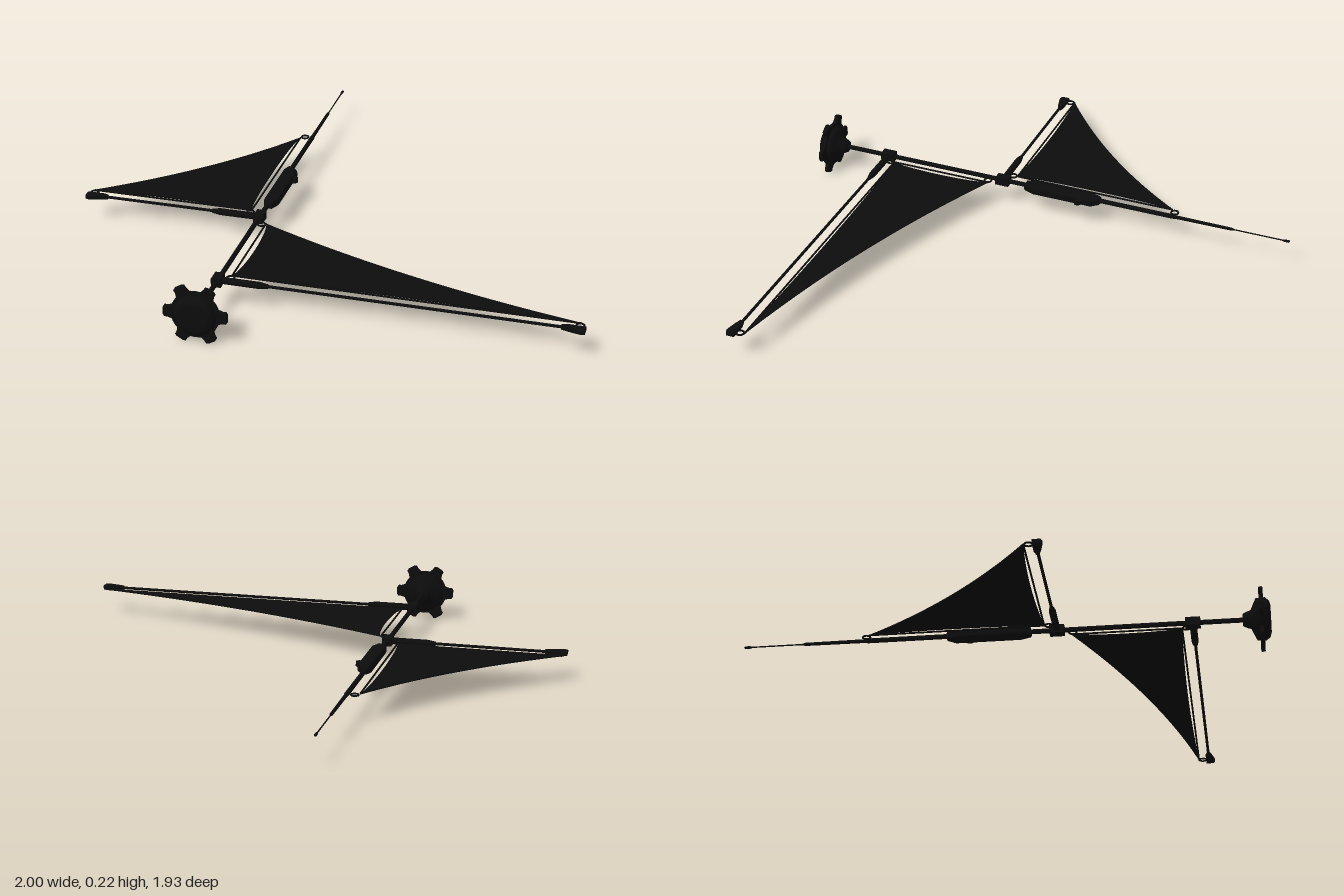
import * as THREE from 'three';

const Y = 0.115, MAST_X = -0.313;

export function createModel() {
  const model = new THREE.Group();
  const black = new THREE.MeshStandardMaterial({ color: 0x0c0c0c });
  black.name = 'black';

  const add = (name, geometry, x = 0, y = Y, z = 0, parent = model) => {
    const mesh = new THREE.Mesh(geometry, black);
    mesh.name = name;
    mesh.position.set(x, y, z);
    parent.add(mesh);
    return mesh;
  };
  const lathe = (profile, sides = 16) =>
    new THREE.LatheGeometry(profile.map(([r, l]) => new THREE.Vector2(r, l)), sides);
  // Flat horizontal plate from a shape drawn as (x, -z), centred on its thickness
  const plate = (shape, thick, bevel = 0) => {
    const g = new THREE.ExtrudeGeometry(shape, {
      depth: thick - 2 * bevel, curveSegments: 24, bevelEnabled: bevel > 0,
      bevelThickness: bevel, bevelSize: bevel, bevelOffset: -bevel, bevelSegments: 2,
    });
    g.translate(0, 0, -(thick - 2 * bevel) / 2);
    return g.rotateX(-Math.PI / 2);
  };
  const outline = (pts) => new THREE.Shape(pts.map(([x, z]) => new THREE.Vector2(x, -z)));
  const rope = (name, [x1, z1], [x2, z2], parent) => {
    const path = new THREE.LineCurve3(new THREE.Vector3(x1, 0, z1), new THREE.Vector3(x2, 0, z2));
    add(name, new THREE.TubeGeometry(path, 1, 0.0035, 8), 0, Y, 0, parent);
  };

  // Mast: fine needle, stepped rod and rounded tip
  add('mast', lathe([
    [0, -0.967], [0.005, -0.963], [0.005, -0.945], [0.0025, -0.935], [0.0025, -0.75],
    [0.006, -0.735], [0.007, -0.52], [0.009, -0.5], [0.009, 0.88], [0, 0.88],
  ]).rotateX(Math.PI / 2), MAST_X);

  // Control housing clamped around the mast, with a side knob
  add('housing', plate(outline([
    [-0.322, -0.21], [-0.304, -0.21], [-0.279, -0.18], [-0.279, 0.06],
    [-0.296, 0.1], [-0.326, 0.1], [-0.333, 0.075], [-0.333, -0.18],
  ]), 0.034, 0.008));
  add('housingKnob', new THREE.CylinderGeometry(0.014, 0.014, 0.018, 16), -0.275, Y, -0.13);

  // Hub at the foot of the mast with six rounded tabs
  const hub = new THREE.Group();
  hub.name = 'hub';
  hub.position.set(MAST_X, Y, 0);
  model.add(hub);
  add('hubBody', lathe([
    [0, 0.866], [0.022, 0.866], [0.03, 0.882], [0.034, 0.895], [0.062, 0.908],
    [0.076, 0.915], [0.078, 0.948], [0.066, 0.962], [0.05, 0.967], [0, 0.967],
  ], 32).rotateX(Math.PI / 2), 0, 0, 0, hub);
  add('hubFlange', new THREE.CylinderGeometry(0.088, 0.088, 0.014, 32).rotateX(Math.PI / 2),
    0, 0, 0.934, hub);
  const tab = new THREE.Shape([
    [0.07, -0.032], [0.1, -0.022], [0.112, -0.022], [0.117, -0.014],
    [0.117, 0.014], [0.112, 0.022], [0.1, 0.022], [0.07, 0.032],
  ].map(([x, y]) => new THREE.Vector2(x, y)));
  for (let i = 0; i < 6; i++) {
    const g = new THREE.ExtrudeGeometry(tab, {
      depth: 0.01, bevelThickness: 0.003, bevelSize: 0.003, bevelOffset: -0.003, bevelSegments: 1,
    });
    add('hubTab', g, 0, 0, 0.929, hub).rotation.z = i * Math.PI / 3;
  }

  // One boom with its sail: side is +1 or -1 along x
  const rig = (name, { side, boomZ, head, tack, clew, leech, luff, foot, rings }) => {
    const group = new THREE.Group();
    group.name = name;
    model.add(group);
    const along = (profile) => lathe(profile).rotateZ(-side * Math.PI / 2);

    // Joint block, sleeve, boom and boom end
    add('joint', new THREE.BoxGeometry(0.036, 0.032, 0.054), MAST_X, Y, boomZ, group);
    add('sleeve', along([
      [0, -0.012], [0.013, -0.012], [0.013, 0.155], [0.008, 0.185], [0, 0.185],
    ]), MAST_X, Y, boomZ, group);
    const length = 0.99 - side * MAST_X;
    add('boom', along([[0, 0], [0.0055, 0], [0.0055, length], [0, length]]), MAST_X, Y, boomZ, group);
    add('boomEnd', plate(outline([
      [0.915, -0.006], [0.935, -0.012], [1, -0.012], [1, 0.019],
      [0.985, 0.024], [0.945, 0.015], [0.915, 0.006],
    ].map(([x, z]) => [x * side, z])), 0.018, 0.003), 0, Y, boomZ, group);

    // Sail with three hollow edges
    const s = new THREE.Shape();
    s.moveTo(head[0], -head[1]);
    s.quadraticCurveTo(leech[0], -leech[1], clew[0], -clew[1]);
    s.quadraticCurveTo(foot[0], -foot[1], tack[0], -tack[1]);
    s.bezierCurveTo(luff, -(tack[1] - 0.05), luff, -(head[1] + 0.05), head[0], -head[1]);
    add('sail', plate(s, 0.004), 0, Y, 0, group);

    // Ropes along luff and foot, rings at the corners
    rope('luffRope', head, tack, group);
    rope('footRope', tack, clew, group);
    for (const [x, z] of rings) {
      add('ring', new THREE.TorusGeometry(0.014, 0.0035, 8, 20).rotateX(Math.PI / 2), x, Y, z, group);
    }
  };

  rig('rightRig', {
    side: -1, boomZ: 0.195, head: [-0.358, -0.49], tack: [-0.358, 0.153], clew: [-0.985, 0.153],
    leech: [-0.6, -0.125], luff: -0.38, foot: [-0.67, 0.128],
    rings: [[-0.342, -0.502], [-0.357, 0.17], [-0.979, 0.17]],
  });
  rig('leftRig', {
    side: 1, boomZ: 0.687, head: [-0.274, 0.243], tack: [-0.274, 0.646], clew: [0.98, 0.646],
    leech: [0.32, 0.52], luff: -0.245, foot: [0.35, 0.624],
    rings: [[-0.289, 0.25], [-0.274, 0.662], [0.977, 0.662]],
  });
  return model;
}
